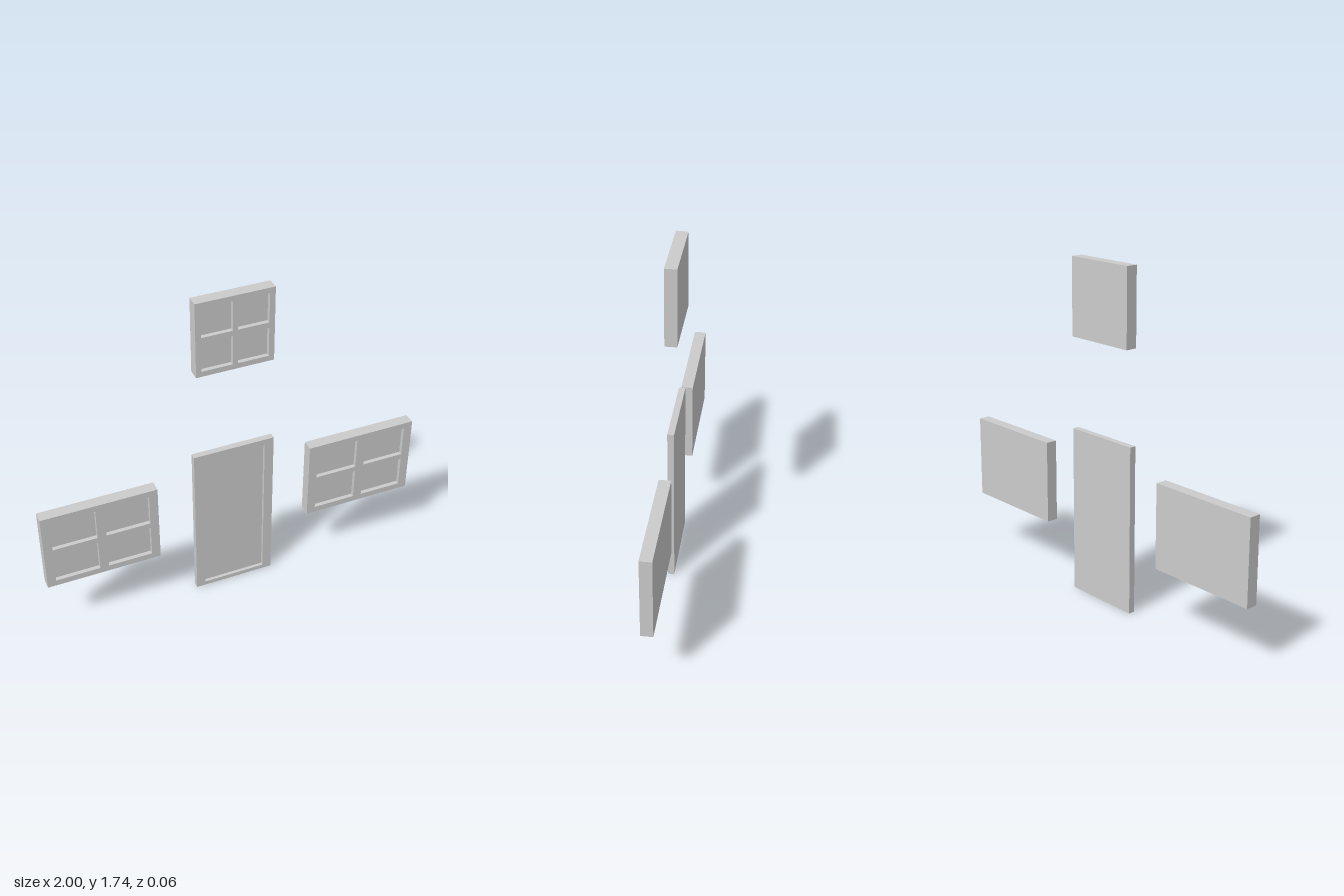
import * as THREE from 'three';

const material = new THREE.MeshStandardMaterial({ color: 0xcccccc, flatShading: true });

// Adds a closed rectangle to a Shape or Path
function rect(path, x0, y0, x1, y1) {
  path.moveTo(x0, y0);
  path.lineTo(x1, y0);
  path.lineTo(x1, y1);
  path.lineTo(x0, y1);
  path.closePath();
  return path;
}

// A slab centred on its own origin, with rectangular recesses [x0, y0, x1, y1] in its front
function recessedPanel(name, width, height, depth, recess, openings) {
  const group = new THREE.Group();
  group.name = name;

  const backDepth = depth - recess;
  const back = new THREE.Mesh(new THREE.BoxGeometry(width, height, backDepth), material);
  back.name = name + 'Back';
  back.position.z = -recess / 2;

  const outline = rect(new THREE.Shape(), -width / 2, -height / 2, width / 2, height / 2);
  for (const o of openings) outline.holes.push(rect(new THREE.Path(), ...o));
  const frame = new THREE.Mesh(
    new THREE.ExtrudeGeometry(outline, { depth: recess, bevelEnabled: false }), material);
  frame.name = name + 'Frame';
  frame.position.z = depth / 2 - recess;

  group.add(back, frame);
  return group;
}

// A window with two by two panes; border is the outer frame, bar the glazing bar
function paneWindow(name, width, height, borderX, borderY, barX, barY) {
  const w = width / 2 - borderX, h = height / 2 - borderY;
  const openings = [];
  for (const [x0, x1] of [[-w, -barX / 2], [barX / 2, w]])
    for (const [y0, y1] of [[-h, -barY / 2], [barY / 2, h]])
      openings.push([x0, y0, x1, y1]);
  return recessedPanel(name, width, height, 0.06, 0.022, openings);
}

export function createModel() {
  const model = new THREE.Group();
  model.name = 'doorAndWindows';

  // Door with one tall recessed panel
  const door = recessedPanel('door', 0.424, 0.868, 0.033, 0.017,
    [[-0.164, -0.412, 0.164, 0.401]]);
  door.position.y = 0.434;
  model.add(door);

  // Wide windows either side of the door
  for (const side of [-1, 1]) {
    const win = paneWindow(side > 0 ? 'leftWindow' : 'rightWindow',
      0.59, 0.435, 0.045, 0.032, 0.046, 0.03);
    win.position.set(side * 0.705, 0.528, 0);
    model.add(win);
  }

  // Small square window above
  const upper = paneWindow('upperWindow', 0.394, 0.394, 0.028, 0.028, 0.026, 0.028);
  upper.position.y = 1.54;
  model.add(upper);

  return model;
}
